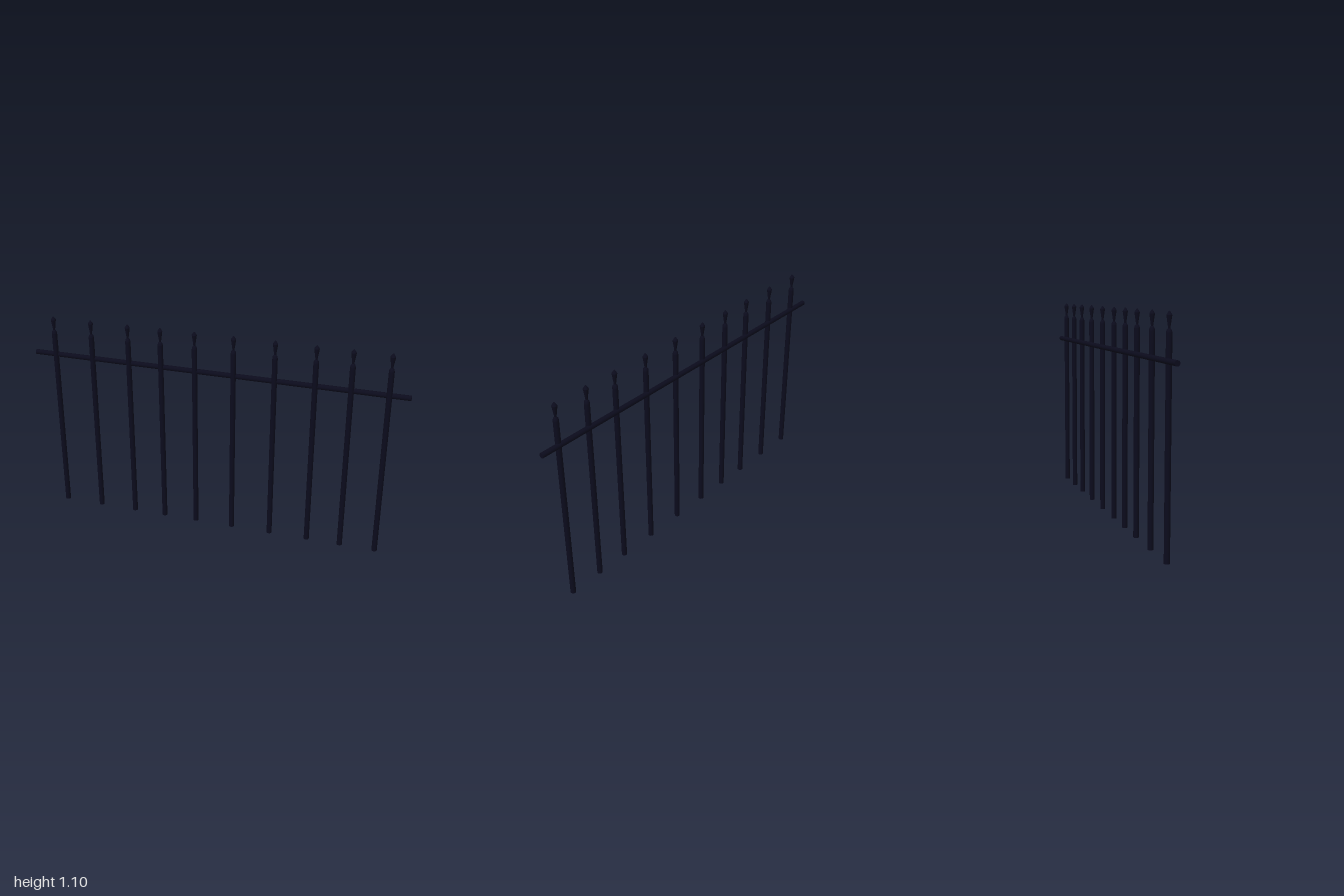
import * as THREE from 'three';

export function createModel() {
  const fence = new THREE.Group();
  fence.name = 'fence';
  const iron = new THREE.MeshStandardMaterial({ color: 0x0b0b1c });

  // Lathe from [radius, height] pairs, bottom to top
  const turned = (profile, sides) =>
    new THREE.LatheGeometry(profile.map(([r, y]) => new THREE.Vector2(r, y)), sides);

  // Round bar with a rounded shoulder
  const barGeometry = turned([
    [0, 0], [0.014, 0], [0.014, 0], [0.014, 1.012], [0.014, 1.012],
    [0.012, 1.022], [0.006, 1.03], [0, 1.031],
  ], 12);

  // Spear tip flaring from a thin neck
  const tipGeometry = turned([
    [0.005, 1.025], [0.0065, 1.04], [0.0135, 1.085], [0.0135, 1.087],
    [0.003, 1.103], [0, 1.104],
  ], 8);

  // Unevenly spaced pickets
  const positions = [-0.88, -0.666, -0.459, -0.28, -0.095, 0.111, 0.325, 0.531, 0.71, 0.895];
  positions.forEach((x) => {
    const picket = new THREE.Group();
    picket.name = 'picket';
    picket.position.set(x, 0, 0.004);
    const bar = new THREE.Mesh(barGeometry, iron);
    bar.name = 'bar';
    const tip = new THREE.Mesh(tipGeometry, iron);
    tip.name = 'spearTip';
    picket.add(bar, tip);
    fence.add(picket);
  });

  // Cross rail, slightly lower at the left end and set behind the pickets
  const rail = new THREE.Mesh(new THREE.CylinderGeometry(0.0135, 0.0135, 2, 12), iron);
  rail.name = 'rail';
  rail.position.set(0, 0.888, -0.004);
  rail.rotation.z = Math.PI / 2 - 0.004;
  fence.add(rail);

  return fence;
}
